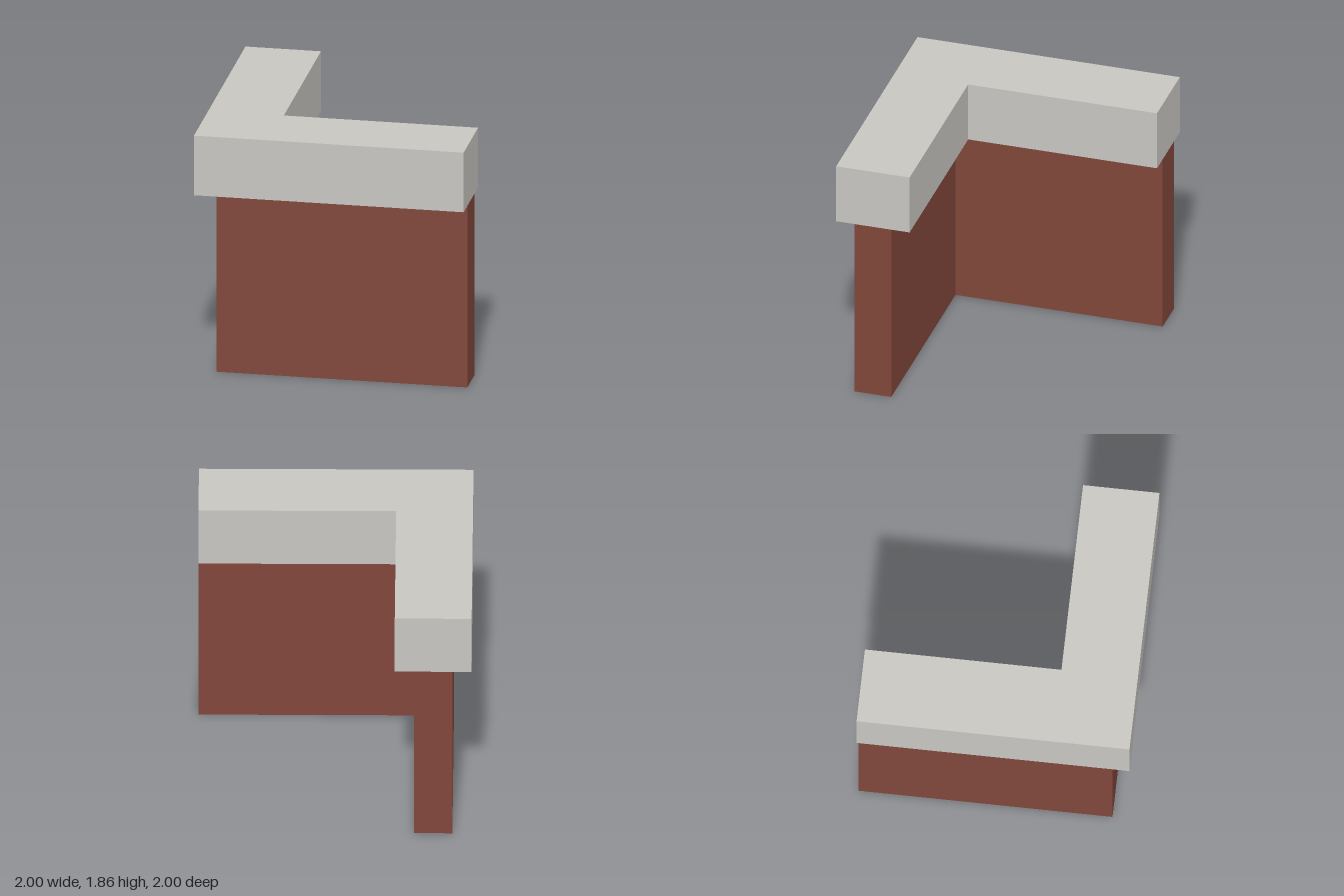
import * as THREE from 'three';

const brick = new THREE.MeshStandardMaterial({ color: 0x80463a });
brick.name = 'brick red';
const stone = new THREE.MeshStandardMaterial({ color: 0xc8c6c1 });
stone.name = 'pale stone';

// L-shaped prism: one arm runs to x = 1 along the front, the other to z = -1 along the right side
function cornerPrism(name, outer, inner, bottom, top, material) {
  const shape = new THREE.Shape([
    [-outer, -outer], [1, -outer], [1, -inner],
    [-inner, -inner], [-inner, 1], [-outer, 1],
  ].map(([x, y]) => new THREE.Vector2(x, y)));
  const geometry = new THREE.ExtrudeGeometry(shape, { depth: top - bottom, bevelEnabled: false });
  geometry.rotateX(-Math.PI / 2).translate(0, bottom, 0);
  const mesh = new THREE.Mesh(geometry, material);
  mesh.name = name;
  return mesh;
}

export function createModel() {
  const model = new THREE.Group();
  model.name = 'cornerWall';
  model.add(
    cornerPrism('wall', 0.86, 0.58, 0, 1.4, brick),
    cornerPrism('coping', 1, 0.44, 1.4, 1.86, stone), // overhangs the wall on both sides
  );
  return model;
}
